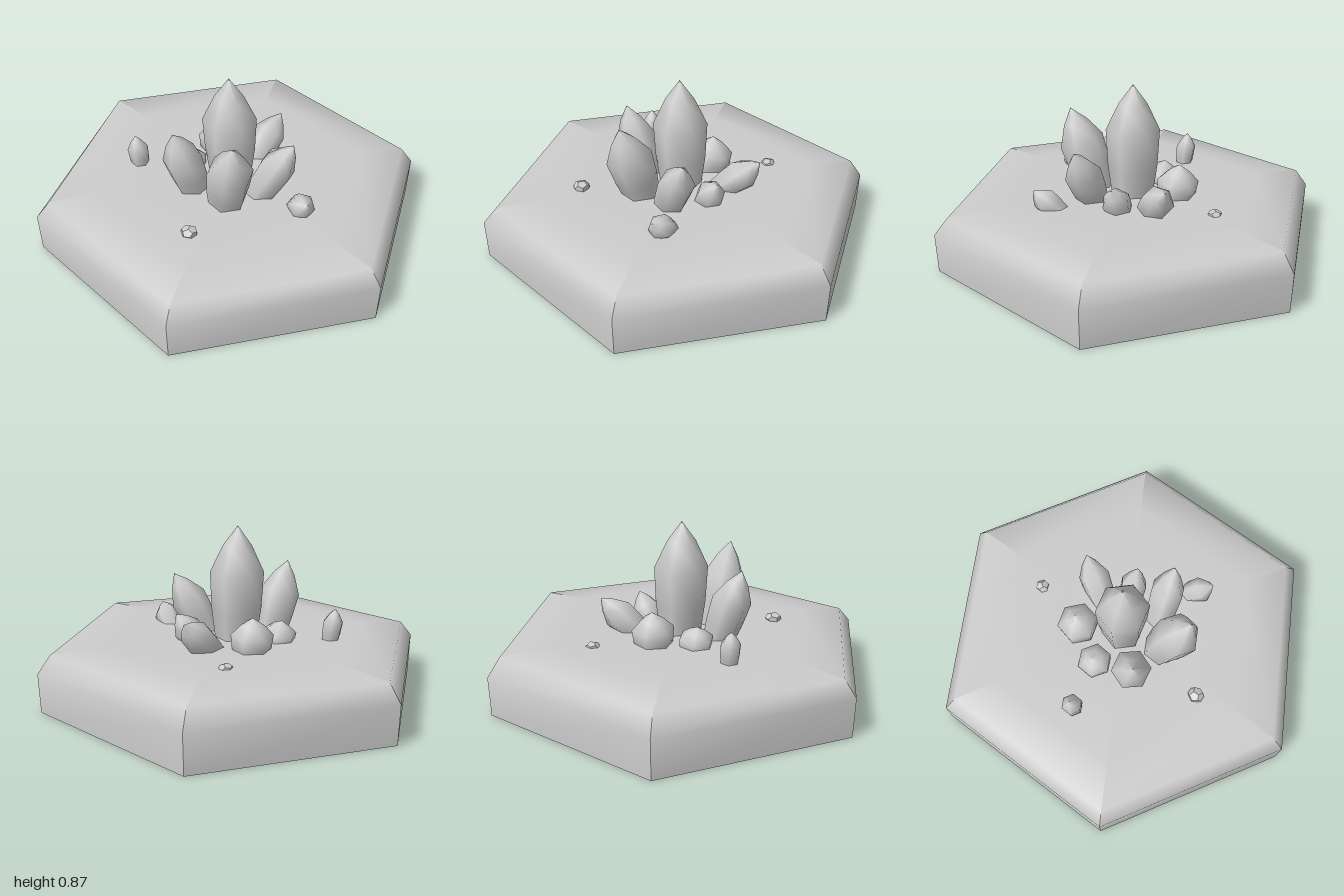
import * as THREE from 'three';

const material = new THREE.MeshStandardMaterial({ color: 0xcccccc });

// Six-sided crystal growing from a base point to a tip
function crystal(name, base, tip, radius, twist = 0) {
  const a = new THREE.Vector3(...base), b = new THREE.Vector3(...tip);
  const axis = b.clone().sub(a), len = axis.length();
  const profile = [[0.74, 0], [0.93, 0.32], [1, 0.62], [0.53, 0.84], [0, 1]]
    .map(([r, h]) => new THREE.Vector2(r * radius, h * len));
  const mesh = new THREE.Mesh(new THREE.LatheGeometry(profile, 6, twist), material);
  mesh.name = name;
  mesh.position.copy(a);
  mesh.quaternion.setFromUnitVectors(new THREE.Vector3(0, 1, 0), axis.normalize());
  return mesh;
}

// Hexagonal slab: six wedges, smooth over the bevel and creased at the corners
function slab() {
  const group = new THREE.Group();
  group.name = 'base';
  const rings = [[0.993, 0], [1, 0.2], [0.935, 0.285], [0.7, 0.303], [0.35, 0.3], [0, 0.297]];
  const height = (y, x, z) => y < 0.25 ? y : y + 0.006 * x - 0.01 * z;
  for (let i = 0; i < 6; i++) {
    const pos = [], index = [];
    for (const [r, y] of rings) {
      for (const k of [i, i + 1]) {
        const x = r * Math.cos(k * Math.PI / 3), z = r * Math.sin(k * Math.PI / 3);
        pos.push(x, height(y, x, z), z);
      }
    }
    for (let j = 0; j < rings.length - 1; j++) {
      const p = j * 2;
      index.push(p, p + 2, p + 1);
      if (j < rings.length - 2) index.push(p + 1, p + 2, p + 3);
    }
    const g = new THREE.BufferGeometry();
    g.setAttribute('position', new THREE.Float32BufferAttribute(pos, 3));
    g.setIndex(index);
    g.computeVertexNormals();
    const wedge = new THREE.Mesh(g, material);
    wedge.name = 'baseWedge';
    group.add(wedge);
  }
  const bottom = new THREE.Mesh(new THREE.CircleGeometry(0.993, 6), material);
  bottom.name = 'baseBottom';
  bottom.rotation.x = Math.PI / 2;
  group.add(bottom);
  return group;
}

// Small angular stone lying on the slab
function pebble(x, z, size, turn) {
  const mesh = new THREE.Mesh(new THREE.DodecahedronGeometry(1, 0), material);
  mesh.name = 'pebble';
  mesh.scale.set(size, size * 0.7, size);
  mesh.position.set(x, 0.306, z);
  mesh.rotation.y = turn;
  return mesh;
}

export function createModel() {
  const model = new THREE.Group();
  model.name = 'crystalCluster';
  model.add(slab());

  // Main cluster
  model.add(
    crystal('mainCrystal', [0, 0.25, -0.01], [-0.01, 0.87, -0.01], 0.135, 0.25),
    crystal('frontCrystal', [-0.07, 0.24, 0.18], [-0.07, 0.7, 0.33], 0.115, 0.5),
    crystal('rightCrystal', [-0.19, 0.24, 0.04], [-0.31, 0.65, 0.08], 0.1, 0.2),
    crystal('leftFrontCrystal', [0.08, 0.24, 0.16], [0.26, 0.59, 0.22], 0.092, 0.4),
    crystal('leftBackCrystal', [0.14, 0.25, -0.12], [0.33, 0.46, -0.24], 0.082, 0.1),
    crystal('leftCrystal', [0.17, 0.24, 0], [0.3, 0.43, 0.03], 0.072, 0.6),
    crystal('backCrystal', [-0.01, 0.24, -0.23], [-0.01, 0.465, -0.25], 0.105, 0.3),
    crystal('rightBackCrystal', [-0.18, 0.24, -0.12], [-0.2, 0.4, -0.14], 0.088, 0.45),
    crystal('smallFrontCrystal', [0.255, 0.26, 0.29], [0.275, 0.38, 0.43], 0.065, 0.2),
    crystal('strayCrystal', [-0.435, 0.27, -0.2], [-0.455, 0.46, -0.215], 0.053, 0.5)
  );

  // Loose stones
  model.add(pebble(0.19, -0.46, 0.036, 0.4), pebble(-0.3, 0.4, 0.042, 1.1));
  return model;
}
